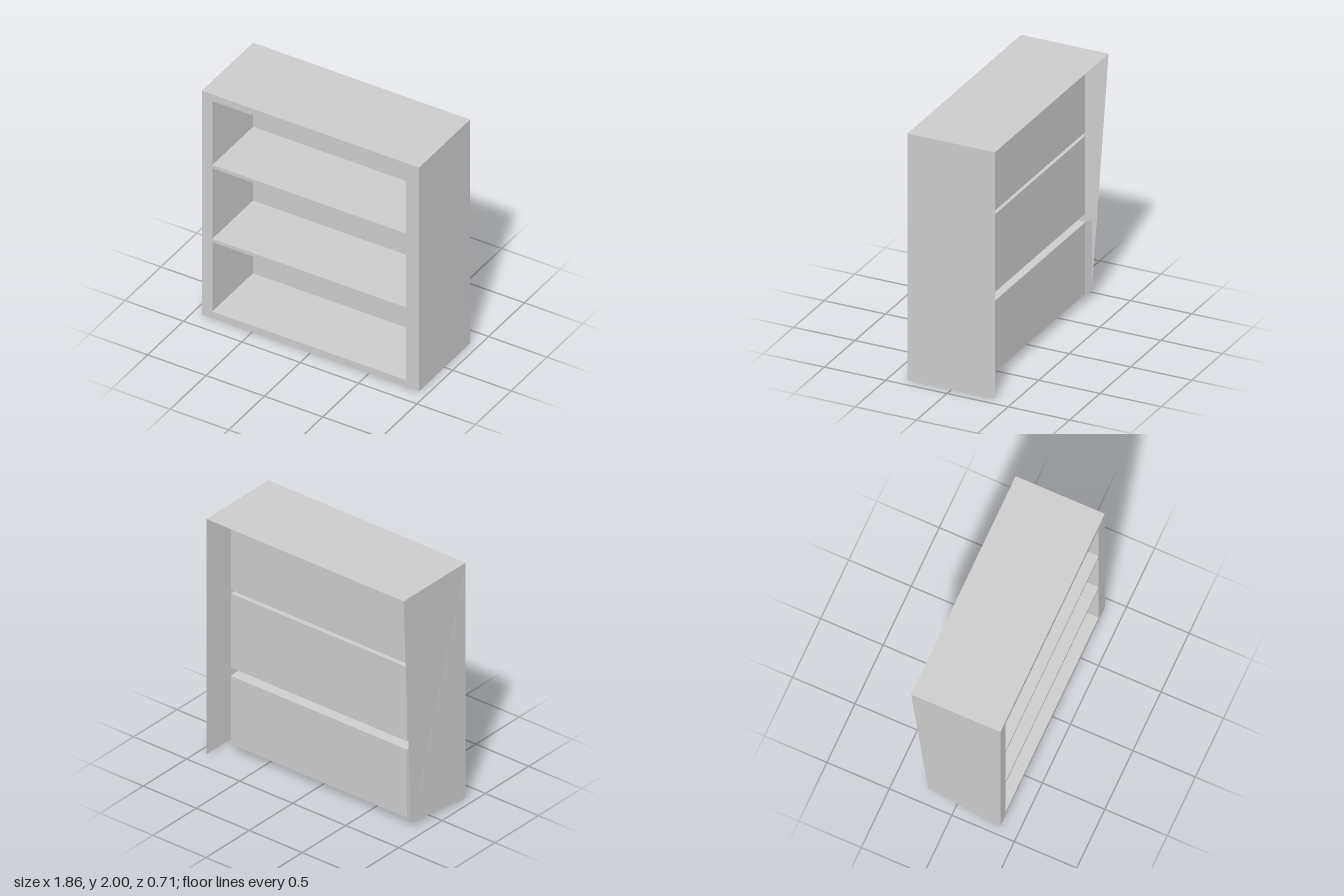
import * as THREE from 'three';

const material = new THREE.MeshStandardMaterial({
  color: 0xcccccc, flatShading: true, side: THREE.DoubleSide,
});

// Outer half width, height, half depth; compartment side walls and back plane
const W = 0.93, H = 2, D = 0.357;
const X0 = -0.84, X1 = 0.82, BACK = -0.21;
// Compartments from bottom to top; the lowest ceiling slopes down to the back
const COMPARTMENTS = [
  { name: 'lowerCompartment', y0: 0.06, y1: 0.68, backTop: 0.64 },
  { name: 'middleCompartment', y0: 0.71, y1: 1.34, backTop: 1.34 },
  { name: 'upperCompartment', y0: 1.37, y1: 1.94, backTop: 1.94 },
];

// Thin panel from four corners, counter-clockwise seen from its front
function panel(name, a, b, c, d) {
  const geometry = new THREE.BufferGeometry();
  geometry.setAttribute('position', new THREE.Float32BufferAttribute([a, b, c, d].flat(), 3));
  geometry.setIndex([0, 1, 2, 0, 2, 3]);
  geometry.computeVertexNormals();
  const mesh = new THREE.Mesh(geometry, material);
  mesh.name = name;
  return mesh;
}

function rectangle(path, x0, y0, x1, y1) {
  path.moveTo(x0, y0).lineTo(x1, y0).lineTo(x1, y1).lineTo(x0, y1).closePath();
  return path;
}

// Front frame with one opening per compartment
function frontFrame() {
  const shape = rectangle(new THREE.Shape(), -W, 0, W, H);
  for (const c of COMPARTMENTS) shape.holes.push(rectangle(new THREE.Path(), X0, c.y0, X1, c.y1));
  const mesh = new THREE.Mesh(new THREE.ShapeGeometry(shape), material);
  mesh.position.z = D;
  mesh.name = 'frontFrame';
  return mesh;
}

// Recess behind an opening: floor, ceiling, two walls and a back
function compartment({ name, y0, y1, backTop }) {
  const group = new THREE.Group();
  group.name = name;
  const f = [[X0, y0, D], [X1, y0, D], [X1, y1, D], [X0, y1, D]];
  const b = [[X0, y0, BACK], [X1, y0, BACK], [X1, backTop, BACK], [X0, backTop, BACK]];
  const names = ['floor', 'leftWall', 'ceiling', 'rightWall'];
  names.forEach((part, i) => {
    const j = (i + 1) % 4;
    group.add(panel(part, f[i], f[j], b[j], b[i]));
  });
  group.add(panel('back', ...b));
  return group;
}

export function createModel() {
  const model = new THREE.Group();
  model.name = 'bookcase';
  model.add(frontFrame(), ...COMPARTMENTS.map(compartment));

  // Outer shell, open at the back and underneath
  model.add(panel('top', [-W, H, D], [W, H, D], [W, H, -D], [-W, H, -D]));
  model.add(panel('leftSide', [W, 0, D], [W, 0, -D], [W, H, -D], [W, H, D]));

  // The right side's lower back corner is pulled in to meet the lowest compartment
  const corner = [-0.9, 0.06, -0.235];
  model.add(panel('rightSide', corner, [-W, 0, D], [-W, H, D], [-W, H, -D]));
  model.add(panel('cornerFlap',
    [X0, 0.06, BACK], corner, [corner[0], 0.64, corner[2]], [X0, 0.64, BACK]));
  return model;
}
